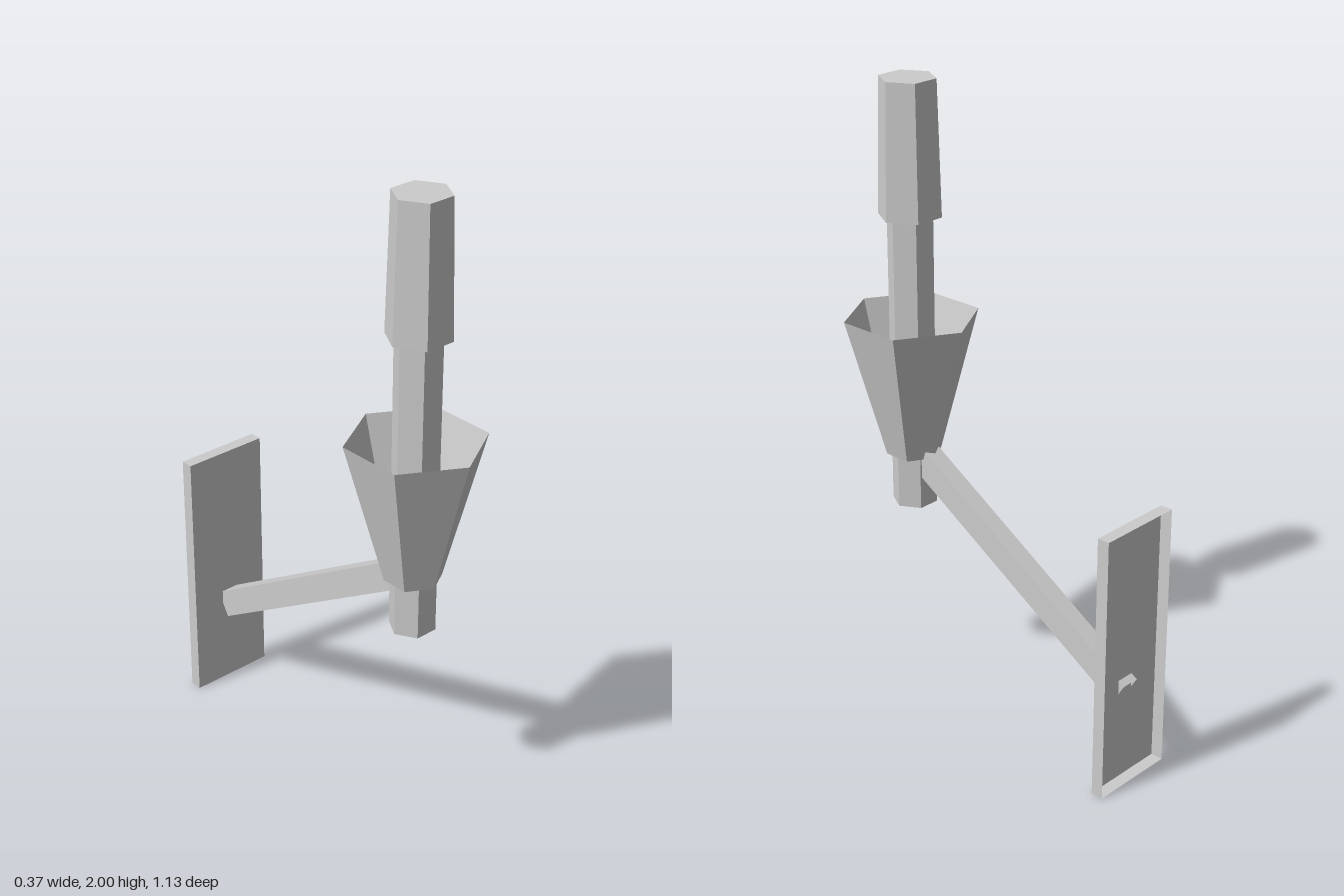
import * as THREE from 'three';

export function createModel() {
  const model = new THREE.Group();
  const metal = new THREE.MeshStandardMaterial({ color: 0xcccccc, flatShading: true, side: THREE.DoubleSide });
  metal.name = 'pale grey';
  const AXIS_Z = 0.352;

  const add = (name, geometry, parent = model) => {
    const mesh = new THREE.Mesh(geometry, metal);
    mesh.name = name;
    parent.add(mesh);
    return mesh;
  };

  // Open six-sided tube between two heights, turned about the upright axis
  const hexTube = (rTop, rBottom, y0, y1, turn) =>
    new THREE.CylinderGeometry(rTop, rBottom, y1 - y0, 6, 1, true)
      .rotateY(turn).translate(0, (y0 + y1) / 2, AXIS_Z);

  // Box with only its first few sides kept (order: +x -x +y -y +z -z)
  const openBox = (w, h, d, sides) => {
    const g = new THREE.BoxGeometry(w, h, d);
    g.setIndex(Array.from(g.index.array).slice(0, sides * 6));
    g.clearGroups();
    return g;
  };

  // Upright torch: stem, flared cup and tapered head with a flat top
  add('stem', hexTube(0.072, 0.072, 0.635, 1.6, Math.PI / 6));
  add('cup', hexTube(0.212, 0.088, 0.805, 1.26, 0));
  const head = new THREE.Group();
  head.name = 'head';
  add('headSides', hexTube(0.088, 0.099, 1.58, 2, Math.PI / 6), head);
  add('headTop', new THREE.CircleGeometry(0.088, 6).rotateX(-Math.PI / 2).translate(0, 2, AXIS_Z), head);
  model.add(head);

  // Wall plate, hollow at the back
  add('wallPlate', openBox(0.284, 0.86, 0.04, 5).translate(0, 0.43, -0.545));

  // Sloping arm from the plate up to the stem
  const low = new THREE.Vector3(0, 0.292, -0.523);
  const high = new THREE.Vector3(0, 0.796, 0.298);
  const arm = add('arm', openBox(0.06, 0.087, low.distanceTo(high), 4));
  arm.position.copy(low).lerp(high, 0.5);
  arm.lookAt(high);

  return model;
}
